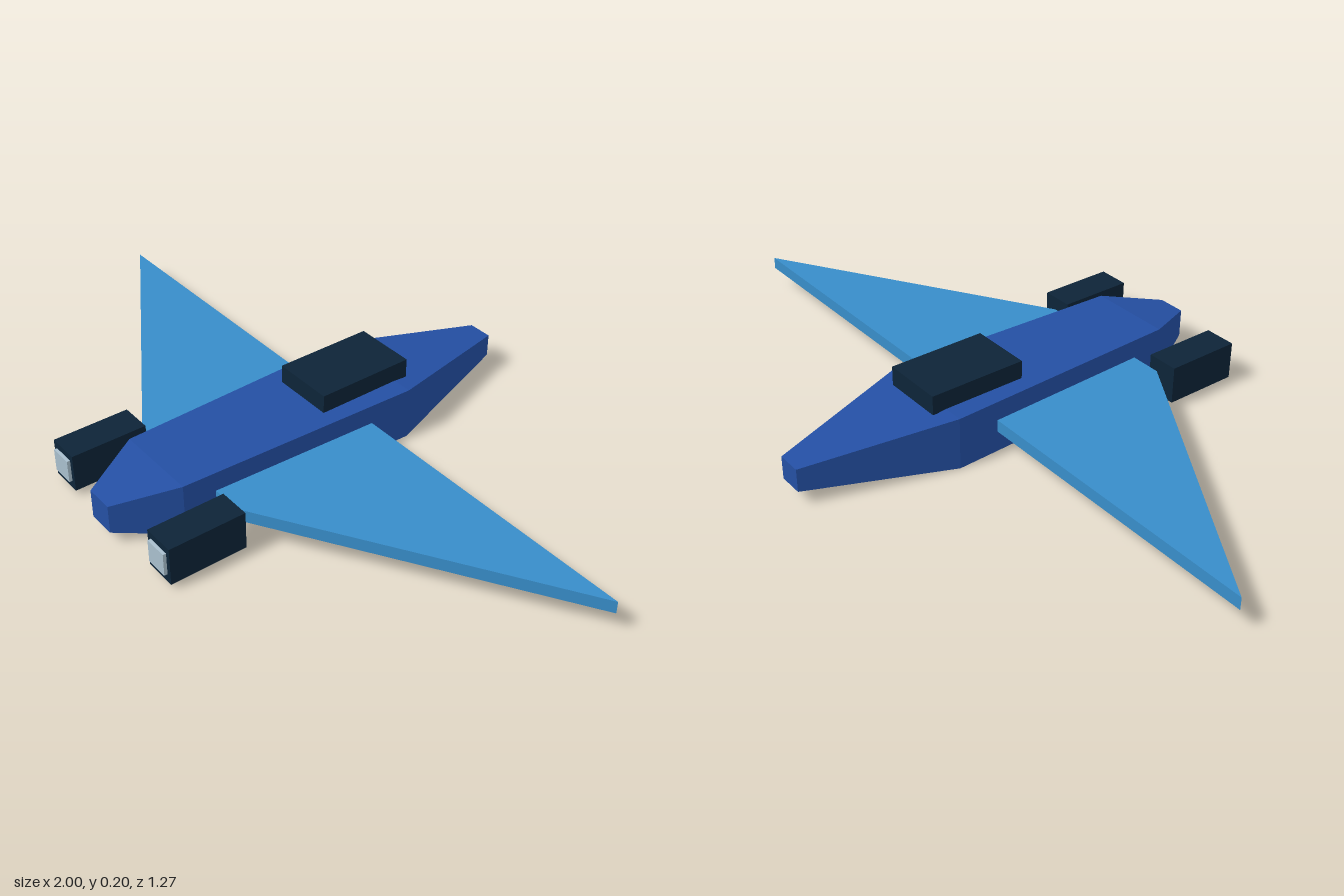
import * as THREE from 'three';

const makeMaterial = (name, color) => {
  const m = new THREE.MeshStandardMaterial({ color });
  m.name = name;
  return m;
};

// Box given by its min and max corners
function box(name, material, [x0, y0, z0], [x1, y1, z1]) {
  const geo = new THREE.BoxGeometry(x1 - x0, y1 - y0, z1 - z0);
  geo.translate((x0 + x1) / 2, (y0 + y1) / 2, (z0 + z1) / 2);
  const mesh = new THREE.Mesh(geo, material);
  mesh.name = name;
  return mesh;
}

// Four-sided hull: a segmented box whose rings are moved onto the sections
function hullGeometry(sections) {
  const n = sections.length - 1;
  const geo = new THREE.BoxGeometry(1, 1, 1, 1, 1, n).toNonIndexed();
  const p = geo.attributes.position;
  for (let i = 0; i < p.count; i++) {
    const [z, half, bottom, top] = sections[Math.round((p.getZ(i) + 0.5) * n)];
    p.setXYZ(i, Math.sign(p.getX(i)) * half, p.getY(i) > 0 ? top : bottom, z);
  }
  geo.computeVertexNormals();
  return geo;
}

export function createModel() {
  const group = new THREE.Group();
  group.name = 'jet';
  const hullBlue = makeMaterial('hull blue', 0x244fa3);
  const wingBlue = makeMaterial('wing blue', 0x388dc9);
  const darkNavy = makeMaterial('dark navy', 0x0d2438);
  const paleGrey = makeMaterial('pale grey', 0xa9bfcd);

  // Fuselage sections: z, half width, bottom, top
  const fuselage = new THREE.Mesh(hullGeometry([
    [-0.635, 0.035, 0.042, 0.108],
    [-0.23, 0.148, 0, 0.15],
    [0.47, 0.122, 0, 0.15],
    [0.635, 0.04, 0.036, 0.117],
  ]), hullBlue);
  fuselage.name = 'fuselage';
  group.add(fuselage);

  // Canopy block on the back
  group.add(box('canopy', darkNavy, [-0.09, 0.147, -0.27], [0.09, 0.202, 0.012]));

  // Wing plate running through the fuselage, outlined in x and z
  const outline = new THREE.Shape([
    [-1, -0.108], [1, -0.108], [0.215, 0.378], [-0.215, 0.378],
  ].map(([x, z]) => new THREE.Vector2(x, z)));
  const wingGeo = new THREE.ExtrudeGeometry(outline, { depth: 0.035, bevelEnabled: false });
  wingGeo.rotateX(Math.PI / 2).translate(0, 0.095, 0);
  const wings = new THREE.Mesh(wingGeo, wingBlue);
  wings.name = 'wings';
  group.add(wings);

  // Engine pods with pale front plates
  for (const [side, x] of [['left', 0.222], ['right', -0.222]]) {
    group.add(box(side + 'Engine', darkNavy, [x - 0.046, 0.016, 0.39], [x + 0.046, 0.124, 0.608]));
    group.add(box(side + 'EngineFace', paleGrey, [x - 0.033, 0.04, 0.608], [x + 0.033, 0.105, 0.617]));
  }
  return group;
}
